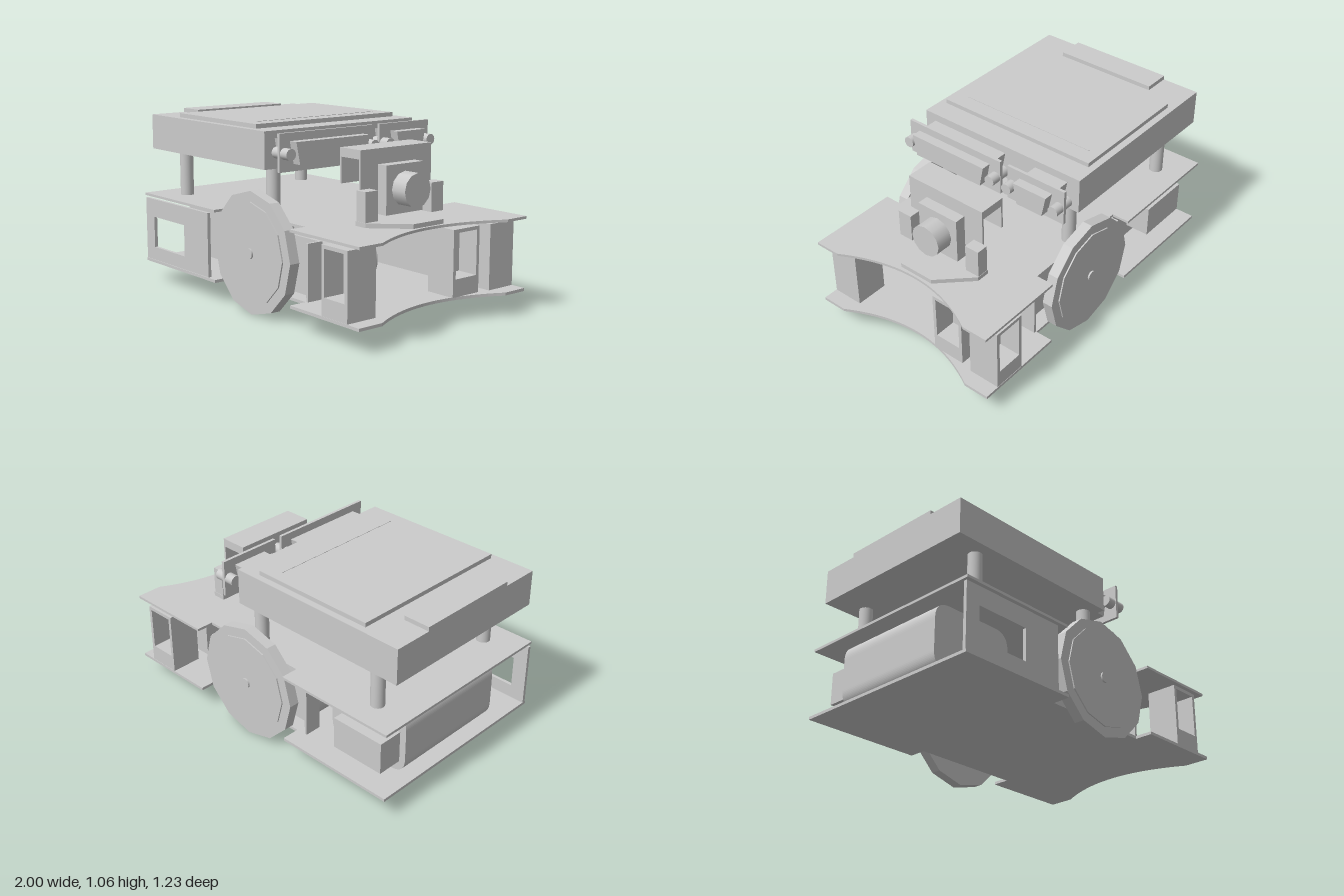
import * as THREE from 'three';

export function createModel() {
  const root = new THREE.Group();
  const mat = new THREE.MeshStandardMaterial({ color: 0xcccccc });
  const flat = new THREE.MeshStandardMaterial({ color: 0xcccccc, flatShading: true });

  const add = (name, geo, parent = root, m = mat) => {
    const mesh = new THREE.Mesh(geo, m);
    mesh.name = name;
    parent.add(mesh);
    return mesh;
  };
  // Box given by its limits on each axis
  const box = (name, x0, x1, y0, y1, z0, z1, parent = root) => {
    const b = add(name, new THREE.BoxGeometry(x1 - x0, y1 - y0, z1 - z0), parent);
    b.position.set((x0 + x1) / 2, (y0 + y1) / 2, (z0 + z1) / 2);
    return b;
  };
  // Cylinder along a chosen axis
  const rod = (name, axis, r, len, x, y, z, sides = 24, m = mat) => {
    const g = new THREE.CylinderGeometry(r, r, len, sides);
    if (axis === 'x') g.rotateZ(-Math.PI / 2);
    if (axis === 'z') g.rotateX(Math.PI / 2);
    const c = add(name, g, root, m);
    c.position.set(x, y, z);
    return c;
  };
  const poly = pts => new THREE.Shape(pts.map(p => new THREE.Vector2(p[0], p[1])));
  const rect = (x0, x1, y0, y1) => poly([[x0, y0], [x1, y0], [x1, y1], [x0, y1]]);
  const extrude = (shape, depth) =>
    new THREE.ExtrudeGeometry(shape, { depth, bevelEnabled: false, curveSegments: 20 });
  // Horizontal slab from an x,z outline
  const slab = (name, shape, top, thick) => {
    const g = extrude(shape, thick);
    g.rotateX(Math.PI / 2);
    const s = add(name, g);
    s.position.y = top;
    return s;
  };

  // Chassis plates, notched at the wheels, with a concave front edge
  const deck = new THREE.Shape();
  deck.moveTo(-1, -0.615);
  [[-0.25, -0.615], [-0.25, -0.51], [0.45, -0.51], [0.45, -0.615], [1, -0.615], [1, -0.46]]
    .forEach(p => deck.lineTo(p[0], p[1]));
  deck.quadraticCurveTo(0.74, 0, 1, 0.46);
  [[1, 0.615], [0.45, 0.615], [0.45, 0.51], [-0.25, 0.51], [-0.25, 0.615], [-1, 0.615]]
    .forEach(p => deck.lineTo(p[0], p[1]));
  slab('lowerPlate', deck, 0.15, 0.017);
  slab('upperPlate', deck, 0.56, 0.015);

  // Wheels, motor mounts and posts on both sides
  for (const s of [1, -1]) {
    rod('wheel', 'z', 0.35, 0.062, 0.07, 0.36, s * 0.558, 12, flat);
    rod('wheelDisc', 'z', 0.29, 0.01, 0.07, 0.36, s * 0.592, 12, flat);
    rod('wheelHub', 'z', 0.03, 0.012, 0.07, 0.36, s * 0.601, 12);
    rod('axle', 'z', 0.03, 0.13, 0.07, 0.36, s * 0.475, 16);
    box('motorMount', -0.32, 0.465, 0.15, 0.47, s * 0.412 - 0.008, s * 0.412 + 0.008);
    for (const x of [-0.32, 0.45])
      box('mountFlange', x, x + 0.015, 0.15, 0.47, s * 0.455 - 0.05, s * 0.455 + 0.05);
    for (const x of [-0.787, 0.087])
      rod('post', 'y', 0.04, 0.28, x, 0.695, s * 0.445);
  }

  // Drive motors lying across the chassis
  rod('frontMotor', 'z', 0.145, 0.435, 0.28, 0.295, 0.187, 32);
  rod('rearMotor', 'z', 0.145, 0.42, -0.155, 0.295, -0.195, 32);

  // Rounded battery with its end box
  const pack = new THREE.Shape();
  const [a, b, c, d, r] = [-0.95, -0.42, 0.16, 0.54, 0.1];
  pack.moveTo(a + r, c);
  pack.lineTo(b - r, c);
  pack.quadraticCurveTo(b, c, b, c + r);
  pack.lineTo(b, d - r);
  pack.quadraticCurveTo(b, d, b - r, d);
  pack.lineTo(a + r, d);
  pack.quadraticCurveTo(a, d, a, d - r);
  pack.lineTo(a, c + r);
  pack.quadraticCurveTo(a, c, a + r, c);
  add('battery', extrude(pack, 0.73)).position.z = -0.4;
  box('batteryConnector', -0.91, -0.575, 0.23, 0.42, -0.55, -0.4);

  // Side panel with a window
  const panel = rect(-1, -0.325, 0.15, 0.53);
  panel.holes.push(rect(-0.91, -0.575, 0.23, 0.42));
  add('sidePanel', extrude(panel, 0.02)).position.z = 0.59;

  // Hollow range sensors, each open on one face
  const sensor = (x, z, turn) => {
    const g = new THREE.Group();
    g.name = 'rangeSensor';
    const frame = rect(-0.1, 0.1, 0.15, 0.525);
    frame.holes.push(rect(-0.08, 0.08, 0.25, 0.505));
    add('sensorFrame', extrude(frame, 0.13), g).position.z = -0.035;
    box('sensorBack', -0.1, 0.1, 0.15, 0.525, -0.095, -0.035, g);
    g.position.set(x, 0, z);
    g.rotation.y = turn;
    root.add(g);
  };
  sensor(0.81, 0.518, 0);
  sensor(0.81, -0.518, Math.PI);
  sensor(0.8, -0.252, Math.PI / 2);

  // Raised computer box with lid pads
  box('computerBody', -1, 0.15, 0.83, 1.04, -0.55, 0.55);
  box('lidPad', -0.75, 0.02, 1.04, 1.065, -0.51, 0.51);
  box('lidGroove', -0.084, -0.077, 1.064, 1.067, -0.44, 0.43);
  box('rearPad', -1, -0.84, 1.04, 1.065, -0.32, 0.32);

  // Sensor bars: backing board, tapered housing and end pins
  for (const [z0, z1, h0, h1] of [[-0.55, -0.165, -0.47, -0.25], [-0.115, 0.55, -0.04, 0.48]]) {
    box('barBoard', 0.265, 0.283, 0.83, 1.04, z0, z1);
    const taper = poly([[-h1 + 0.025, 0.87], [-h0 - 0.025, 0.87], [-h0, 0.995], [-h1, 0.995]]);
    const g = extrude(taper, 0.19);
    g.rotateY(Math.PI / 2);
    add('barHousing', g).position.x = 0.15;
    for (const z of [z0 + 0.033, z1 - 0.035])
      rod('barPin', 'x', 0.032, 0.13, 0.275, 0.93, z, 20);
  }

  // Camera on its bracket
  box('cameraTop', 0.44, 0.6, 0.91, 0.96, -0.26, 0.26);
  box('cameraRearFlap', 0.437, 0.449, 0.765, 0.96, -0.26, 0.26);
  box('cameraFace', 0.592, 0.604, 0.605, 0.96, -0.26, 0.26);
  box('cameraBlock', 0.6, 0.67, 0.605, 0.875, -0.135, 0.135);
  rod('cameraLens', 'x', 0.095, 0.1, 0.72, 0.74, 0, 12);
  for (const s of [1, -1])
    box('cameraTab', 0.604, 0.675, 0.575, 0.75, s * 0.243 - 0.045, s * 0.243 + 0.045);
  slab('cameraBase', poly([[0.6, -0.29], [0.68, -0.29], [0.855, -0.11], [0.855, 0.11],
    [0.68, 0.29], [0.6, 0.29]]), 0.585, 0.025);

  return root;
}
